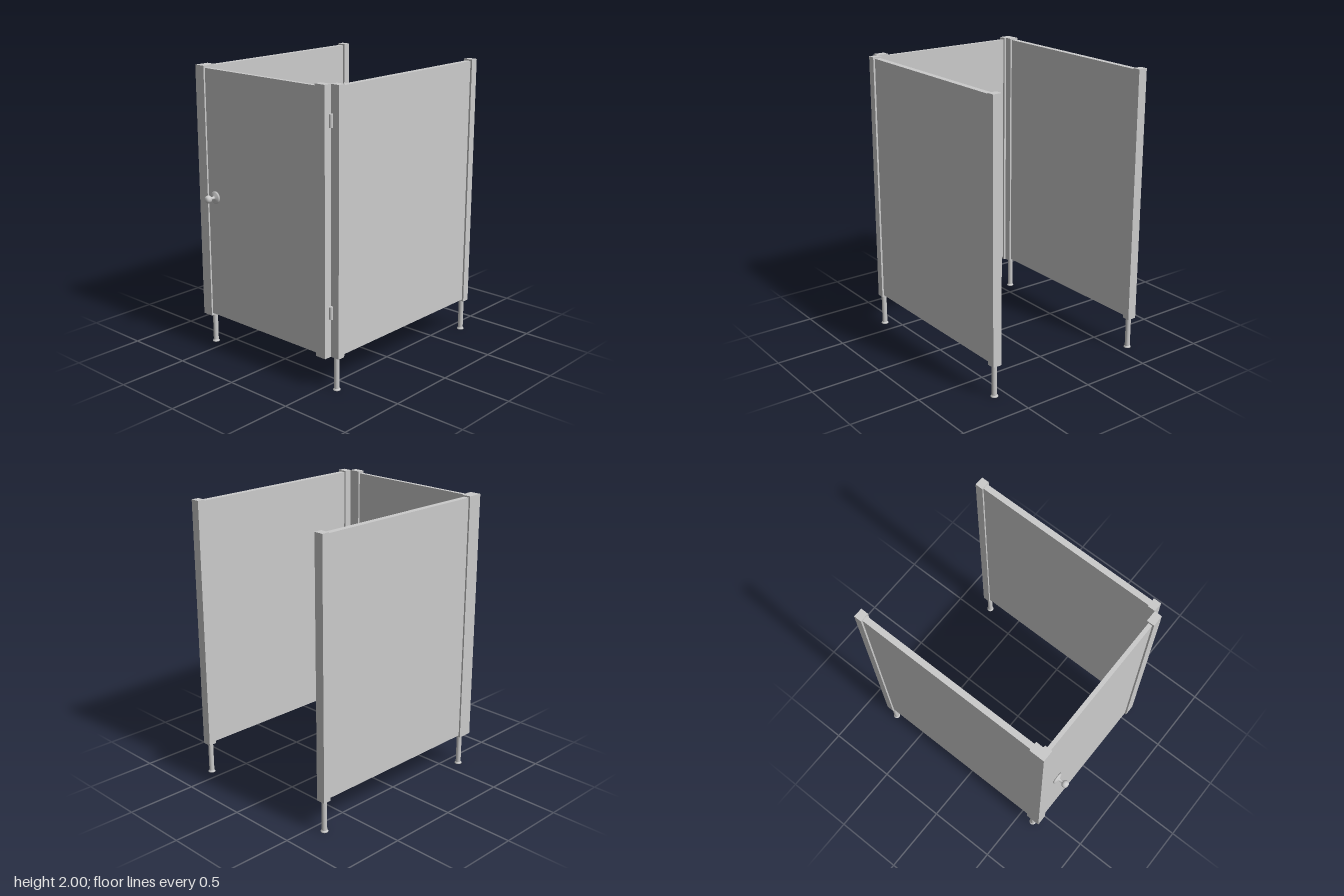
import * as THREE from 'three';

const material = new THREE.MeshStandardMaterial({ color: 0xcccccc });
const latheMaterial = new THREE.MeshStandardMaterial({ color: 0xcccccc, side: THREE.DoubleSide });

export function createModel() {
  const model = new THREE.Group();
  model.name = 'cubicle';

  const add = (name, geometry, mat = material) => {
    const mesh = new THREE.Mesh(geometry, mat);
    mesh.name = name;
    model.add(mesh);
    return mesh;
  };
  // Box given by its limits on each axis
  const box = (name, x0, x1, y0, y1, z0, z1) =>
    add(name, new THREE.BoxGeometry(x1 - x0, y1 - y0, z1 - z0))
      .position.set((x0 + x1) / 2, (y0 + y1) / 2, (z0 + z1) / 2);
  const lathe = (name, points) =>
    add(name, new THREE.LatheGeometry(points.map(([r, y]) => new THREE.Vector2(r, y)), 24), latheMaterial);

  const bottom = 0.228, top = 2;

  // Side walls
  box('rightWall', -0.609, -0.568, 0.24, 1.99, -0.74, 0.585);
  box('leftWall', 0.562, 0.603, 0.24, 1.99, -0.74, 0.585);

  // Square posts
  box('rightBackPost', -0.621, -0.555, bottom, top, -0.785, -0.73);
  box('leftBackPost', 0.55, 0.616, bottom, top, -0.785, -0.73);
  box('leftFrontPost', 0.55, 0.616, bottom, top, 0.577, 0.631);

  // L-shaped post that the door closes against
  const corner = new THREE.Shape([
    [-0.621, -0.685], [-0.54, -0.685], [-0.54, -0.631],
    [-0.555, -0.631], [-0.555, -0.577], [-0.621, -0.577],
  ].map(([x, y]) => new THREE.Vector2(x, y)));
  const post = add('rightFrontPost',
    new THREE.ExtrudeGeometry(corner, { depth: top - bottom, bevelEnabled: false }));
  post.rotation.x = -Math.PI / 2;
  post.position.y = bottom;

  // Door with its hinge stile
  box('door', -0.541, 0.475, 0.245, 1.985, 0.645, 0.673);
  box('hingeStile', 0.468, 0.549, bottom, top, 0.631, 0.685);

  // Hinge barrels
  for (const y of [0.54, 1.78]) {
    add('hinge', new THREE.CylinderGeometry(0.013, 0.013, 0.084, 20)).position.set(0.567, y, 0.648);
  }

  // Legs with flared feet
  for (const x of [-0.588, 0.583]) {
    for (const z of [0.611, -0.752]) {
      lathe('leg', [[0, 0], [0.025, 0], [0.025, 0.005], [0.018, 0.013], [0.018, 0.013], [0.018, 0.235]])
        .position.set(x, 0, z);
    }
  }

  // Door knob: rose, neck and rounded grip
  const knob = lathe('knob', [
    [0, 0], [0.043, 0], [0.043, 0.008], [0.036, 0.014], [0.016, 0.018], [0.01, 0.024],
    [0.01, 0.047], [0.016, 0.05], [0.024, 0.056], [0.027, 0.066], [0.026, 0.078],
    [0.02, 0.087], [0.012, 0.091], [0, 0.092],
  ]);
  knob.rotation.x = Math.PI / 2;
  knob.position.set(-0.452, 1.115, 0.689);

  return model;
}
